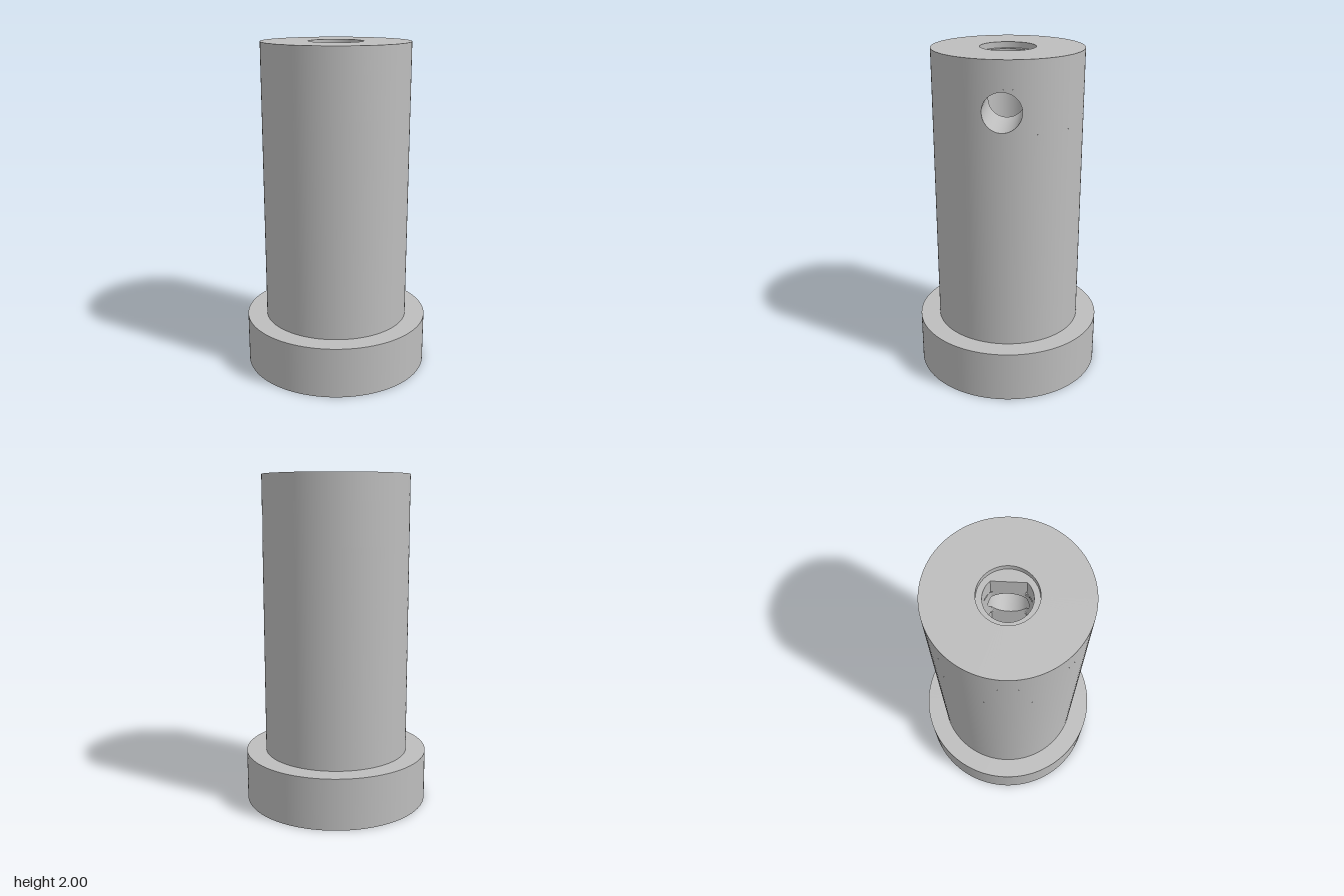
import * as THREE from 'three';

const SEG = 128;
const H = 2, FLANGE_H = 0.31, FLANGE_R = 0.562, BODY_R = 0.442;
const RECESS_R = 0.162, LEDGE_Y = 1.965;            // shallow recess at the top
const D_R = 0.13, D_FLAT = 0.09, D_FLOOR = 1.1;     // D-shaped blind bore
const BORE_R = 0.167, BORE_TOP = 0.8, CHAMFER_R = 0.21, CHAMFER_H = 0.04;
const HOLE_Y = 1.72, HOLE_R = 0.11, PATCH = 0.125;  // set screw hole on +x

const bodyX = (z) => Math.sqrt(BODY_R * BODY_R - z * z);
const dBoreX = (z) => Math.min(D_FLAT, Math.sqrt(D_R * D_R - z * z));

// Open cylinder or cone wall, optionally leaving a gap of +-gap radians around +x
function wall(rTop, rBottom, y0, y1, gap = 0) {
  const g = new THREE.CylinderGeometry(rTop, rBottom, y1 - y0, SEG, 1, true,
    Math.PI / 2 + gap, Math.PI * 2 - 2 * gap);
  return g.translate(0, (y0 + y1) / 2, 0);
}

// Flat annulus or disc facing up or down
function disc(inner, outer, y, up = true) {
  const g = inner > 0 ? new THREE.RingGeometry(inner, outer, SEG) : new THREE.CircleGeometry(outer, SEG);
  return g.rotateX(up ? -Math.PI / 2 : Math.PI / 2).translate(0, y, 0);
}

// Closed loops joined into a surface: point(k, t) gives [x, y, z], k in 0..1
function loft(point, rows, cols = 64) {
  const pos = [], index = [];
  for (let i = 0; i <= rows; i++) {
    for (let j = 0; j < cols; j++) {
      pos.push(...point(i / rows, (j / cols) * Math.PI * 2));
      if (i === rows) continue;
      const n = (j + 1) % cols;
      const a = i * cols + j, b = a + cols, c = (i + 1) * cols + n, d = i * cols + n;
      index.push(a, b, c, a, c, d);
    }
  }
  const g = new THREE.BufferGeometry();
  g.setAttribute('position', new THREE.Float32BufferAttribute(pos, 3));
  g.setIndex(index);
  g.computeVertexNormals();
  return g;
}

// Square piece of a wall x = f(z) with the round screw hole in it
function holedPatch(f) {
  return loft((k, t) => {
    const c = Math.cos(t), s = Math.sin(t);
    const edge = PATCH / Math.max(Math.abs(c), Math.abs(s));
    const r = HOLE_R + (edge - HOLE_R) * k;
    const z = Math.max(-PATCH, Math.min(PATCH, -r * c));
    return [f(z), HOLE_Y + r * s, z];
  }, 4);
}

function dOutline(path) {
  const a = Math.acos(D_FLAT / D_R);
  path.absarc(0, 0, D_R, a, Math.PI * 2 - a, false);
  path.closePath();
  return path;
}

export function createModel() {
  const metal = new THREE.MeshStandardMaterial({ color: 0xbdbdbd, side: THREE.DoubleSide });
  const model = new THREE.Group();
  model.name = 'flangedShaftSleeve';

  const part = (name, ...geometries) => {
    const group = new THREE.Group();
    group.name = name;
    geometries.forEach((g, i) => {
      const mesh = new THREE.Mesh(g, metal);
      mesh.name = `${name}Face${i + 1}`;
      group.add(mesh);
    });
    model.add(group);
  };

  const low = HOLE_Y - PATCH, high = HOLE_Y + PATCH;

  // Flange at the foot
  part('flange',
    wall(FLANGE_R, FLANGE_R, 0, FLANGE_H),
    disc(BODY_R, FLANGE_R, FLANGE_H),
    disc(CHAMFER_R, FLANGE_R, 0, false));

  // Barrel with the screw hole cut into its wall
  const patch = holedPatch(bodyX);
  const p = patch.attributes.position;
  for (let i = 0; i < p.count; i++) {
    patch.attributes.normal.setXYZ(i, p.getX(i) / BODY_R, 0, p.getZ(i) / BODY_R);
  }
  part('barrel',
    wall(BODY_R, BODY_R, FLANGE_H, low),
    wall(BODY_R, BODY_R, low, high, Math.asin(PATCH / BODY_R)),
    wall(BODY_R, BODY_R, high, H),
    patch,
    disc(RECESS_R, BODY_R, H));

  // Screw hole from the barrel wall into the D bore
  part('screwHole', loft((k, t) => {
    const z = -HOLE_R * Math.cos(t);
    return [bodyX(z) * (1 - k) + dBoreX(z) * k, HOLE_Y + HOLE_R * Math.sin(t), z];
  }, 1));

  // Recess and ledge around the D bore
  const ledge = new THREE.Shape().absarc(0, 0, RECESS_R, 0, Math.PI * 2, false);
  ledge.holes.push(dOutline(new THREE.Path()));
  part('topRecess',
    wall(RECESS_R, RECESS_R, LEDGE_Y, H),
    new THREE.ShapeGeometry(ledge, 64).rotateX(-Math.PI / 2).translate(0, LEDGE_Y, 0));

  // D bore: round wall, flat side and floor
  const flatAngle = Math.acos(D_FLAT / D_R);
  const flat = (y0, y1) => new THREE.PlaneGeometry(2 * D_R * Math.sin(flatAngle), y1 - y0)
    .rotateY(-Math.PI / 2).translate(D_FLAT, (y0 + y1) / 2, 0);
  part('dBore',
    wall(D_R, D_R, D_FLOOR, low, flatAngle), flat(D_FLOOR, low),
    wall(D_R, D_R, low, high, Math.asin(PATCH / D_R)), holedPatch(dBoreX),
    wall(D_R, D_R, high, LEDGE_Y, flatAngle), flat(high, LEDGE_Y),
    new THREE.ShapeGeometry(dOutline(new THREE.Shape()), 64).rotateX(-Math.PI / 2).translate(0, D_FLOOR, 0));

  // Round bore from below with a chamfered mouth
  part('bottomBore',
    wall(BORE_R, CHAMFER_R, 0, CHAMFER_H),
    wall(BORE_R, BORE_R, CHAMFER_H, BORE_TOP),
    disc(0, BORE_R, BORE_TOP, false));

  return model;
}
